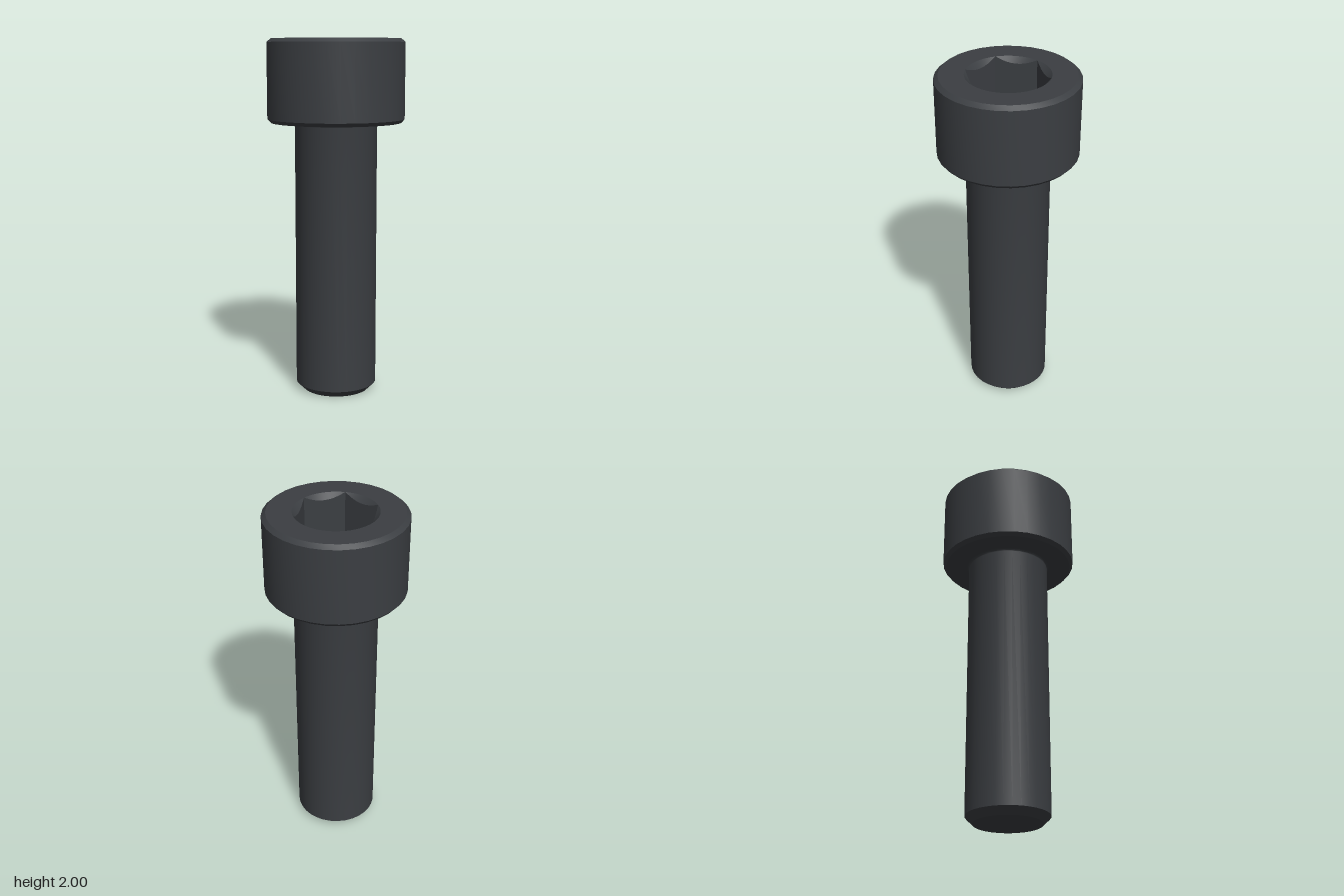
import * as THREE from 'three';
import { toCreasedNormals } from 'three/addons/utils/BufferGeometryUtils.js';

const SIDES = 32;
const SOCKET_STEPS = 48; // multiple of 6, so every hex corner gets a vertex
const SOCKET_R = 0.226;
const TOP = 2, TOP_R = 0.36, FLOOR = 1.77;

const material = new THREE.MeshStandardMaterial({ color: 0x3b3e42 });

function addPart(group, name, geometry) {
  const mesh = new THREE.Mesh(toCreasedNormals(geometry, 0.5), material);
  mesh.name = name;
  group.add(mesh);
}

function lathe(profile) {
  return new THREE.LatheGeometry(profile.map(([r, y]) => new THREE.Vector2(r, y)), SIDES);
}

function circlePoints(radius, steps) {
  return Array.from({ length: steps }, (_, i) => {
    const a = (i / steps) * Math.PI * 2;
    return new THREE.Vector2(radius * Math.cos(a), radius * Math.sin(a));
  });
}

// Flat ring around the socket opening
function topRing() {
  const shape = new THREE.Shape(circlePoints(TOP_R, SIDES));
  shape.holes.push(new THREE.Path(circlePoints(SOCKET_R, SOCKET_STEPS)));
  return new THREE.ShapeGeometry(shape).rotateX(-Math.PI / 2).translate(0, TOP, 0);
}

// Conical countersink cut by a hexagon, then straight walls and a flat floor
function hexSocket() {
  const sector = Math.PI / 3;
  const apothem = SOCKET_R * Math.cos(sector / 2);
  const positions = [], index = [];
  for (let i = 0; i <= SOCKET_STEPS; i++) {
    const a = (i / SOCKET_STEPS) * Math.PI * 2;
    const hexR = apothem / Math.cos((a % sector) - sector / 2);
    const r = i % (SOCKET_STEPS / 6) === 0 ? SOCKET_R : hexR;
    const rings = [[SOCKET_R, TOP], [r, TOP - (SOCKET_R - r)], [r, FLOOR], [0, FLOOR]];
    for (const [radius, y] of rings) positions.push(radius * Math.cos(a), y, radius * Math.sin(a));
    if (i === SOCKET_STEPS) break;
    for (let k = 0; k < 3; k++) {
      const p = i * 4 + k, q = p + 4;
      index.push(p, p + 1, q, p + 1, q + 1, q);
    }
  }
  const geometry = new THREE.BufferGeometry();
  geometry.setAttribute('position', new THREE.Float32BufferAttribute(positions, 3));
  geometry.setIndex(index);
  geometry.computeVertexNormals();
  return geometry;
}

export function createModel() {
  const group = new THREE.Group();
  group.name = 'socketHeadBolt';

  // Shank with chamfered tip and a small fillet under the head
  const fillet = [0, 1, 2, 3, 4].map((i) => {
    const a = (i / 4) * Math.PI / 2;
    return [0.245 - 0.015 * Math.cos(a), 1.525 + 0.015 * Math.sin(a)];
  });
  addPart(group, 'shank', lathe([[0, 0], [0.19, 0], [0.23, 0.04], ...fillet]));

  // Cylindrical head, chamfered above and below
  addPart(group, 'head', lathe([
    [0.245, 1.54], [0.365, 1.54], [0.383, 1.56], [0.383, 1.98], [TOP_R, TOP],
  ]));
  addPart(group, 'headTop', topRing());
  addPart(group, 'hexSocket', hexSocket());

  return group;
}
